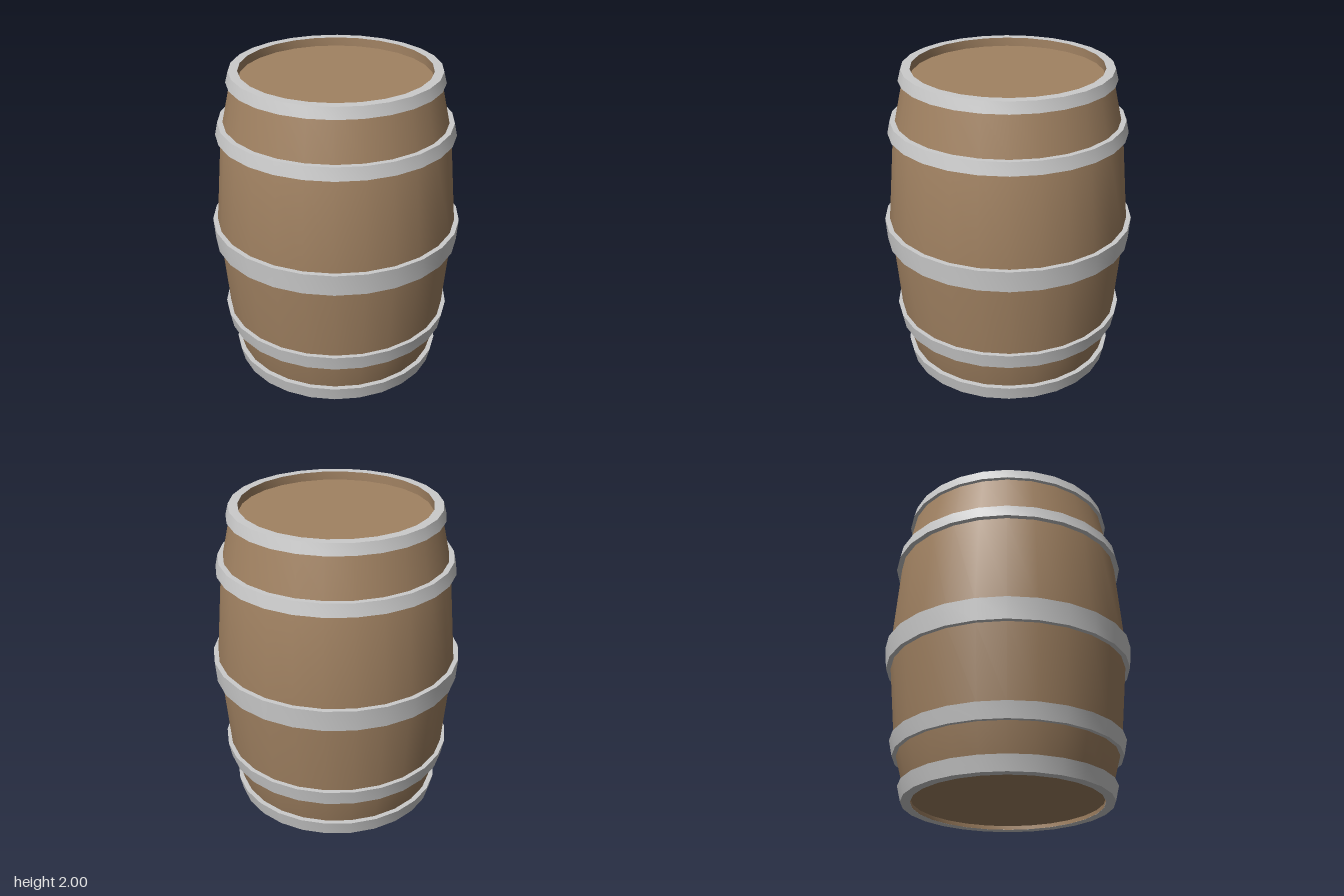
import * as THREE from 'three';
import { toCreasedNormals } from 'three/addons/utils/BufferGeometryUtils.js';

const SIDES = 26;
const wood = new THREE.MeshStandardMaterial({ color: 0xa18262 });
const metal = new THREE.MeshStandardMaterial({ color: 0xcccccc });

// Turned part: smooth around the axis, sharp at profile corners
function turned(name, profile, material) {
  const points = profile.map(([r, y]) => new THREE.Vector2(r, y));
  const lathe = new THREE.LatheGeometry(points, SIDES, Math.PI / 2);
  const mesh = new THREE.Mesh(toCreasedNormals(lathe, 0.5), material);
  mesh.name = name;
  return mesh;
}

// Closed metal band with sloping outer face
function hoop(name, y0, y1, r0, r1, inner) {
  return turned(name, [[inner, y0], [r0, y0], [r1, y1], [inner, y1], [inner, y0]], metal);
}

export function createModel() {
  const barrel = new THREE.Group();
  barrel.name = 'barrel';

  // Bulging wooden side, its ends hidden inside the end hoops
  barrel.add(turned('staves', [
    [0.625, 0.03], [0.645, 0.095], [0.694, 0.285], [0.712, 0.385], [0.755, 0.87],
    [0.766, 1.0], [0.716, 1.6], [0.7, 1.675], [0.645, 1.93], [0.632, 1.98],
  ], wood));

  // Recessed heads with the short inner wall around each
  barrel.add(turned('topHead', [[0.594, 2], [0.594, 1.945], [0, 1.945]], wood));
  barrel.add(turned('bottomHead', [[0, 0.025], [0.594, 0.025], [0.594, 0]], wood));

  // Metal hoops from bottom to top
  barrel.add(
    hoop('bottomHoop', 0, 0.095, 0.655, 0.677, 0.595),
    hoop('lowerHoop', 0.285, 0.385, 0.72, 0.74, 0.67),
    hoop('middleHoop', 0.87, 1.01, 0.785, 0.796, 0.74),
    hoop('upperHoop', 1.595, 1.675, 0.75, 0.733, 0.68),
    hoop('topHoop', 1.93, 2, 0.67, 0.652, 0.595),
  );
  return barrel;
}
